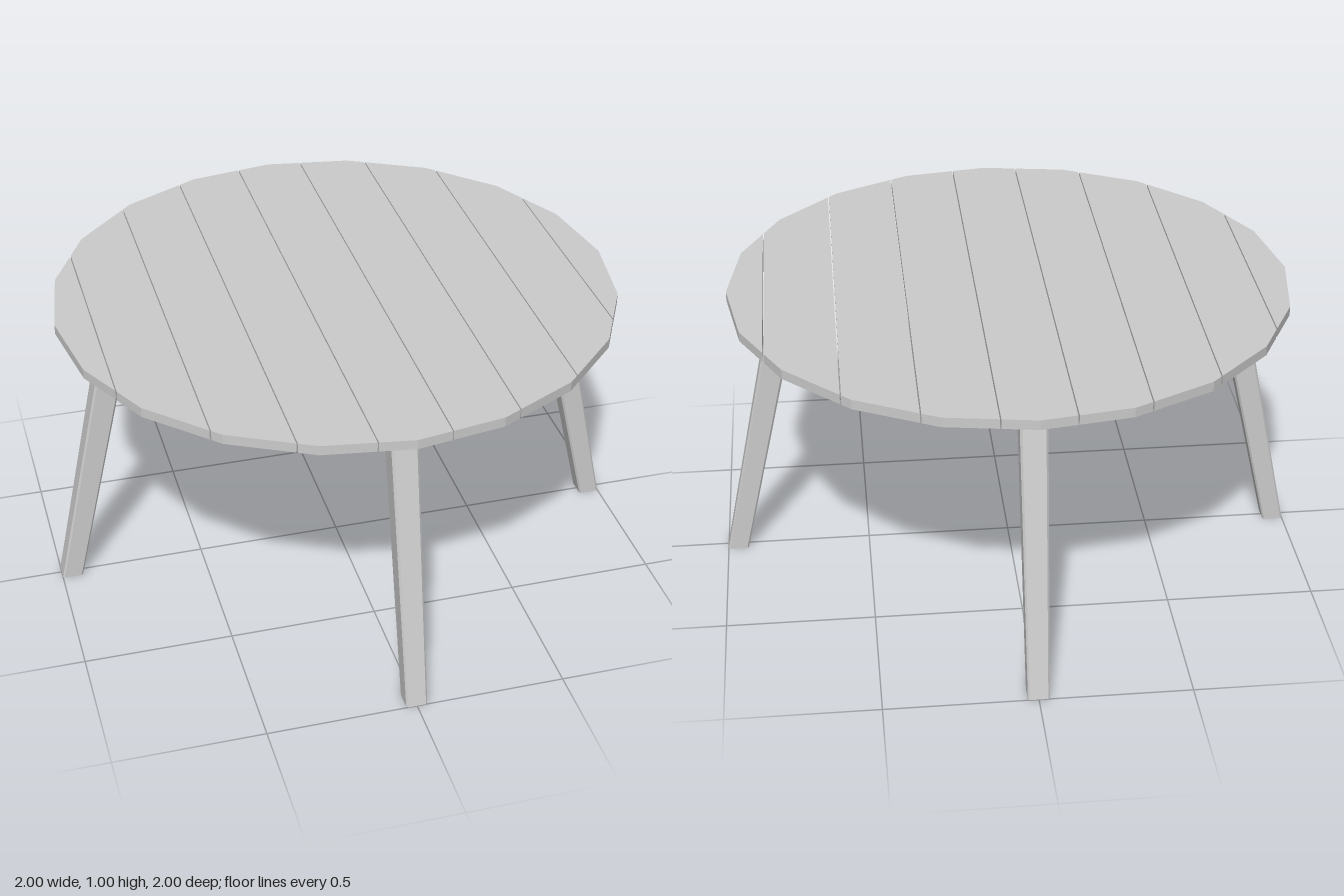
import * as THREE from 'three';

const RADIUS = 0.946, SIDES = 20, TOP_Y = 1.003, THICK = 0.033, CENTRE = -0.003;
const PLANK = 0.235, GAP = 0.004, LEG_H = 0.971;

// Half depth of the twenty-sided top at a given x
const corners = Array.from({ length: SIDES / 2 + 1 }, (_, i) => {
  const a = Math.PI - (i * 2 * Math.PI) / SIDES;
  return new THREE.Vector2(RADIUS * Math.cos(a), RADIUS * Math.sin(a));
});
function halfDepth(x) {
  for (let i = 1; i < corners.length; i++) {
    const a = corners[i - 1], b = corners[i];
    if (x <= b.x) return THREE.MathUtils.lerp(a.y, b.y, (x - a.x) / (b.x - a.x));
  }
  return 0;
}

// One board, cut to the outline of the top
function plankGeometry(x0, x1) {
  const xs = [x0, ...corners.map(c => c.x).filter(x => x > x0 + 1e-4 && x < x1 - 1e-4), x1];
  const far = xs.map(x => new THREE.Vector2(x, halfDepth(x)));
  const near = xs.map(x => new THREE.Vector2(x, -halfDepth(x))).reverse();
  const outline = [...far, ...near].filter((p, i, all) => p.distanceTo(all[(i + 1) % all.length]) > 1e-4);
  const geo = new THREE.ExtrudeGeometry(new THREE.Shape(outline), { depth: THICK, bevelEnabled: false });
  return geo.rotateX(-Math.PI / 2);
}

// Chamfered square leg, wider at the top and leaning inwards
function legGeometry() {
  const c = 0.84;
  const square = [[1, -c], [1, c], [c, 1], [-c, 1], [-1, c], [-1, -c], [-c, -1], [c, -1]];
  const shape = new THREE.Shape(square.map(([x, y]) => new THREE.Vector2(x, y)));
  const geo = new THREE.ExtrudeGeometry(shape, { depth: LEG_H, bevelEnabled: false }).rotateX(-Math.PI / 2);
  const pos = geo.attributes.position;
  for (let i = 0; i < pos.count; i++) {
    const t = pos.getY(i) / LEG_H;
    const half = THREE.MathUtils.lerp(0.0355, 0.045, t);
    const lean = THREE.MathUtils.lerp(0.9645, 0.752, t);
    pos.setX(i, lean + pos.getX(i) * half);
    pos.setZ(i, pos.getZ(i) * half);
  }
  geo.computeVertexNormals();
  return geo;
}

export function createModel() {
  const model = new THREE.Group();
  model.name = 'roundTable';
  const material = new THREE.MeshStandardMaterial({ color: 0xcccccc, flatShading: true });

  // Table top: seven full boards and a narrow one at each end
  const top = new THREE.Group();
  top.name = 'tableTop';
  top.position.set(CENTRE, TOP_Y - THICK, CENTRE);
  for (let i = -4; i <= 4; i++) {
    const x0 = Math.max(-RADIUS, (i - 0.5) * PLANK + GAP / 2);
    const x1 = Math.min(RADIUS, (i + 0.5) * PLANK - GAP / 2);
    const plank = new THREE.Mesh(plankGeometry(x0, x1), material);
    plank.name = `plank${i + 5}`;
    top.add(plank);
  }
  model.add(top);

  // Four splayed legs
  const legGeo = legGeometry();
  ['leftLeg', 'backLeg', 'rightLeg', 'frontLeg'].forEach((name, i) => {
    const leg = new THREE.Mesh(legGeo, material);
    leg.name = name;
    leg.rotation.y = (i * Math.PI) / 2;
    model.add(leg);
  });
  return model;
}
